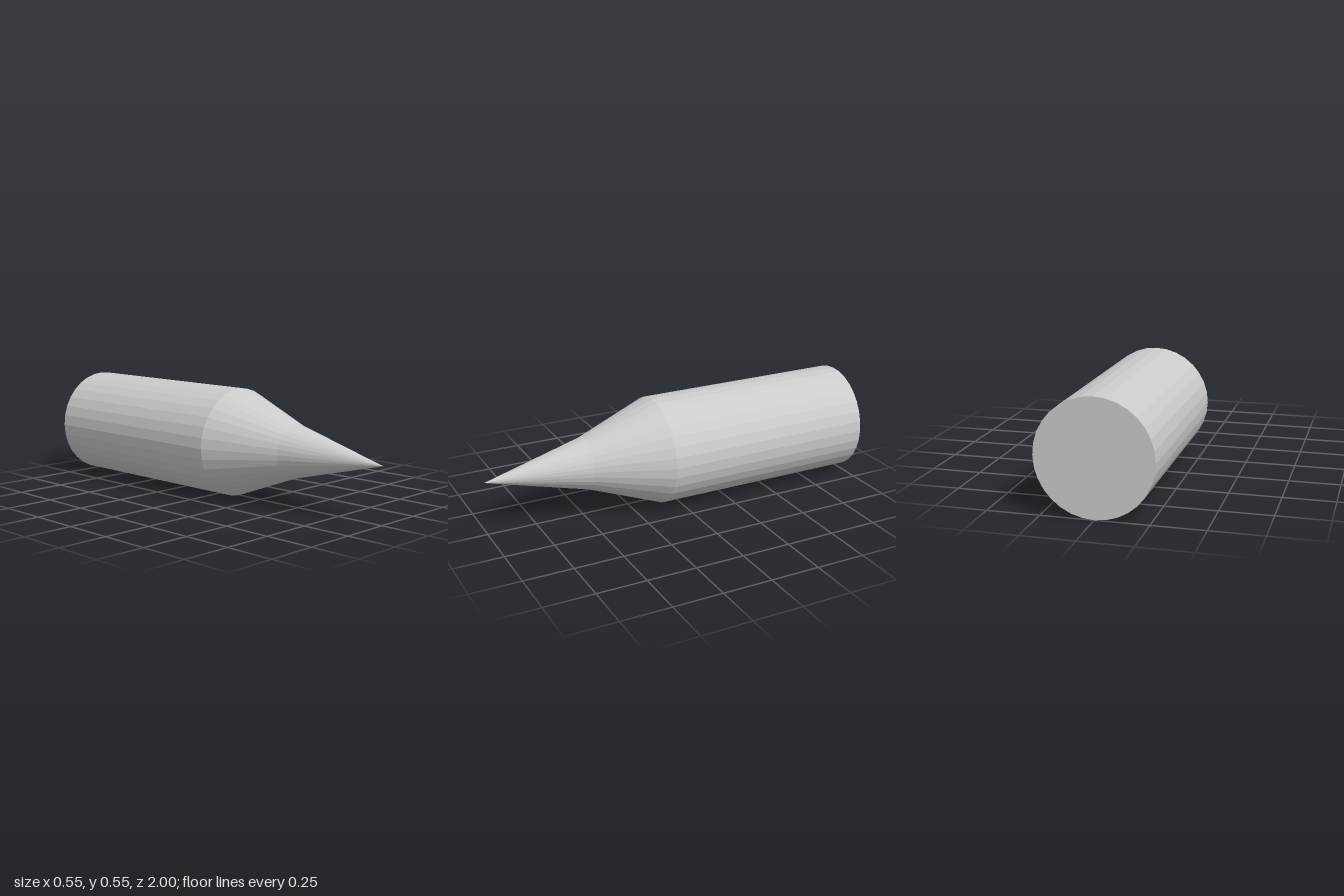
import * as THREE from 'three';

const SIDES = 32;
const RADIUS = 0.276;

export function createModel() {
  const group = new THREE.Group();
  const material = new THREE.MeshStandardMaterial({ color: 0xcccccc, flatShading: true });

  // Each section is turned from [radius, z] points, ordered back to front
  const addSection = (name, profile) => {
    const points = profile.map(([r, z]) => new THREE.Vector2(r, z));
    const geometry = new THREE.LatheGeometry(points, SIDES);
    geometry.rotateX(Math.PI / 2);
    const mesh = new THREE.Mesh(geometry, material);
    mesh.name = name;
    mesh.position.y = RADIUS;
    group.add(mesh);
  };

  // Barrel with a flat closed back
  addSection('barrel', [[0, -1], [RADIUS, -1], [RADIUS, 0.105]]);
  // Wide taper in front of the barrel
  addSection('shoulder', [[RADIUS, 0.105], [0.134, 0.48]]);
  // Slender point
  addSection('tip', [[0.134, 0.48], [0, 1]]);

  return group;
}
